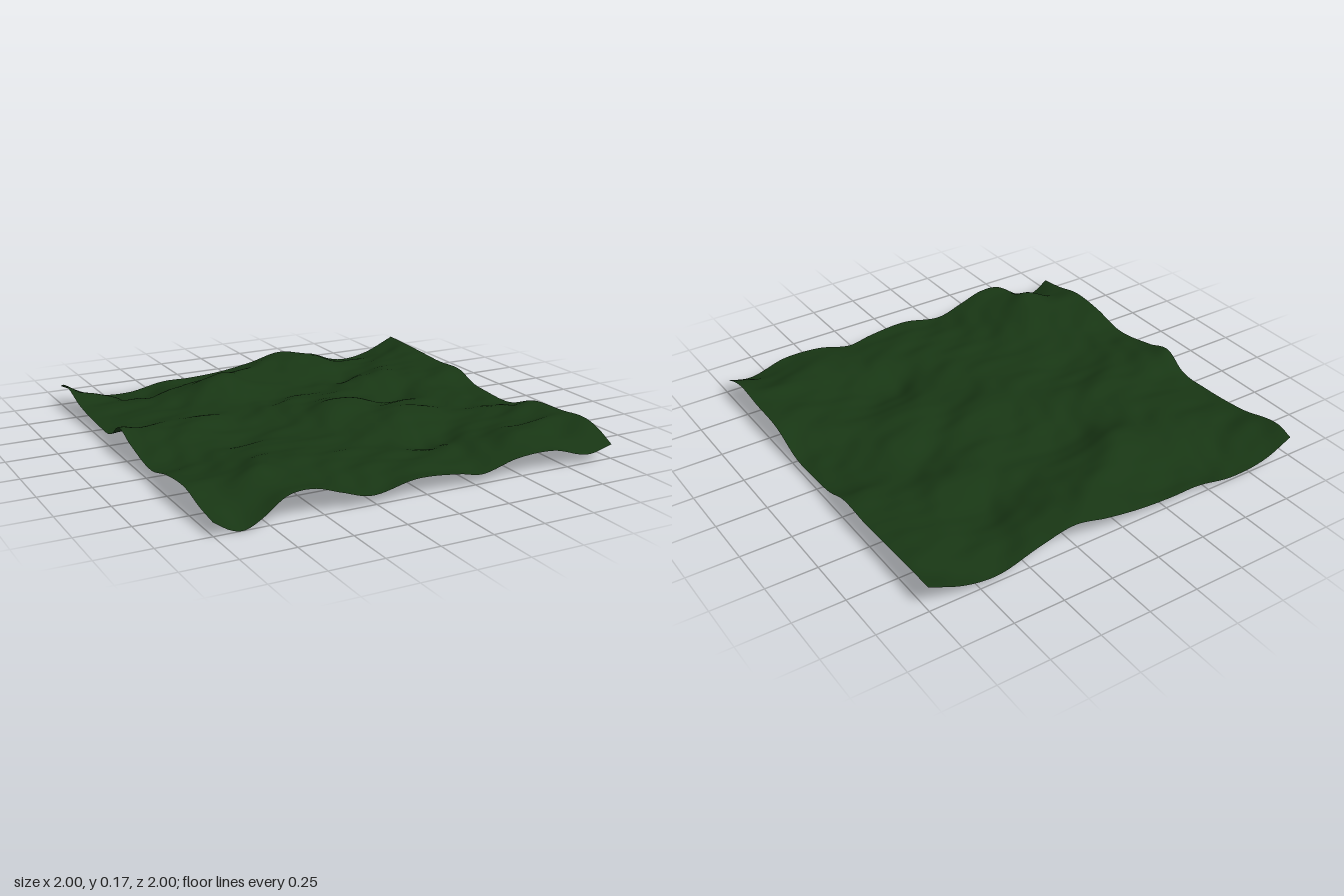
import * as THREE from 'three';

// Smooth curve through [position, height, position, height, ...]
function profile(points) {
  const t = points.filter((_, i) => i % 2 === 0);
  const v = points.filter((_, i) => i % 2 === 1);
  const curve = new THREE.CubicInterpolant(t, v, 1, new Float32Array(1));
  return (p) => curve.evaluate(p)[0];
}

// Heights along the four borders of the sheet
const front = profile([-1, 0.062, -0.92, 0.012, -0.86, 0.002, -0.78, 0.04, -0.67, 0.115, -0.55, 0.125, -0.42, 0.085,
  -0.28, 0.045, -0.05, 0.082, 0.17, 0.065, 0.28, 0.045, 0.47, 0.088, 0.67, 0.092, 0.87, 0.042, 1, 0.07]);
const back = profile([-1, 0.102, -0.85, 0.035, -0.64, 0.015, -0.43, 0.05, -0.28, 0.05, -0.09, 0.062, 0.09, 0.09,
  0.27, 0.128, 0.45, 0.092, 0.66, 0.035, 0.82, 0.055, 1, 0.129]);
const left = profile([-1, 0.129, -0.85, 0.125, -0.69, 0.118, -0.47, 0.108, -0.27, 0.112, -0.13, 0.068, -0.03, 0.058,
  0.2, 0.055, 0.4, 0.118, 0.62, 0.13, 0.8, 0.142, 0.9, 0.118, 1, 0.07]);
const right = profile([-1, 0.102, -0.92, 0.128, -0.67, 0.08, -0.4, 0.06, -0.22, 0.068, -0.1, 0.137, 0.05, 0.1,
  0.31, 0.06, 0.51, 0.1, 0.71, 0.112, 0.86, 0.08, 1, 0.062]);

// Hills and hollows: x, z, height, all stretched along one diagonal
const bumps = [
  [-0.27, -0.6, 0.082], [-0.1, -0.4, -0.03], [-0.7, 0.77, 0.065], [-0.6, 0.58, 0.04], [0.1, 0, 0.05],
  [0.38, 0.17, 0.03], [0.3, 0.52, -0.06], [0.5, 0.42, -0.02], [0.58, -0.4, 0.03], [0.52, -0.17, -0.05],
  [0.35, -0.87, 0.03], [0.47, -0.62, -0.045], [0.05, -0.82, 0.04], [0.2, -0.46, -0.02], [0.65, 0.77, 0.04],
  [-0.5, 0.12, -0.03], [-0.62, -0.1, 0.03], [-0.62, -0.82, -0.035], [0.72, 0.1, -0.025],
];

function hills(x, z) {
  let h = 0.088;
  for (const [bx, bz, a] of bumps) {
    const along = 0.83 * (x - bx) - 0.56 * (z - bz);
    const across = 0.56 * (x - bx) + 0.83 * (z - bz);
    h += a * Math.exp(-((along / 0.19) ** 2) - (across / 0.12) ** 2);
  }
  // fine slanting ripples, broken into short lengths
  const s = 0.83 * x - 0.56 * z, c = 0.56 * x + 0.83 * z;
  h += 0.006 * Math.sin(27 * c + 2 * Math.sin(8 * s)) * Math.cos(11 * s + 6 * c);
  h += 0.003 * Math.sin(45 * c + 3 * Math.sin(9 * s + 1)) * Math.cos(17 * s - 5 * c);
  return h;
}

// Border weight: 1 on the border, 0 further in
const weight = (d) => 1 - THREE.MathUtils.smoothstep(d, 0, 0.32);

function height(x, z) {
  const edgesX = [[1, left], [-1, right]];
  const edgesZ = [[1, front], [-1, back]];
  let h = hills(x, z);
  for (const [ex, fx] of edgesX) h += weight(1 - ex * x) * (fx(z) - hills(ex, z));
  for (const [ez, fz] of edgesZ) {
    h += weight(1 - ez * z) * (fz(x) - hills(x, ez));
    for (const [ex] of edgesX) {
      h -= weight(1 - ex * x) * weight(1 - ez * z) * (fz(ex) - hills(ex, ez));
    }
  }
  return THREE.MathUtils.clamp(h, 0, 0.178);
}

export function createModel() {
  const group = new THREE.Group();
  group.name = 'terrain';

  // Rolling ground sheet
  const geometry = new THREE.PlaneGeometry(2, 2, 100, 100).rotateX(-Math.PI / 2);
  const pos = geometry.attributes.position;
  for (let i = 0; i < pos.count; i++) pos.setY(i, height(pos.getX(i), pos.getZ(i)));
  geometry.computeVertexNormals();

  const ground = new THREE.Mesh(geometry, new THREE.MeshStandardMaterial({ color: 0x183614, side: THREE.DoubleSide }));
  ground.name = 'ground';
  group.add(ground);
  return group;
}
